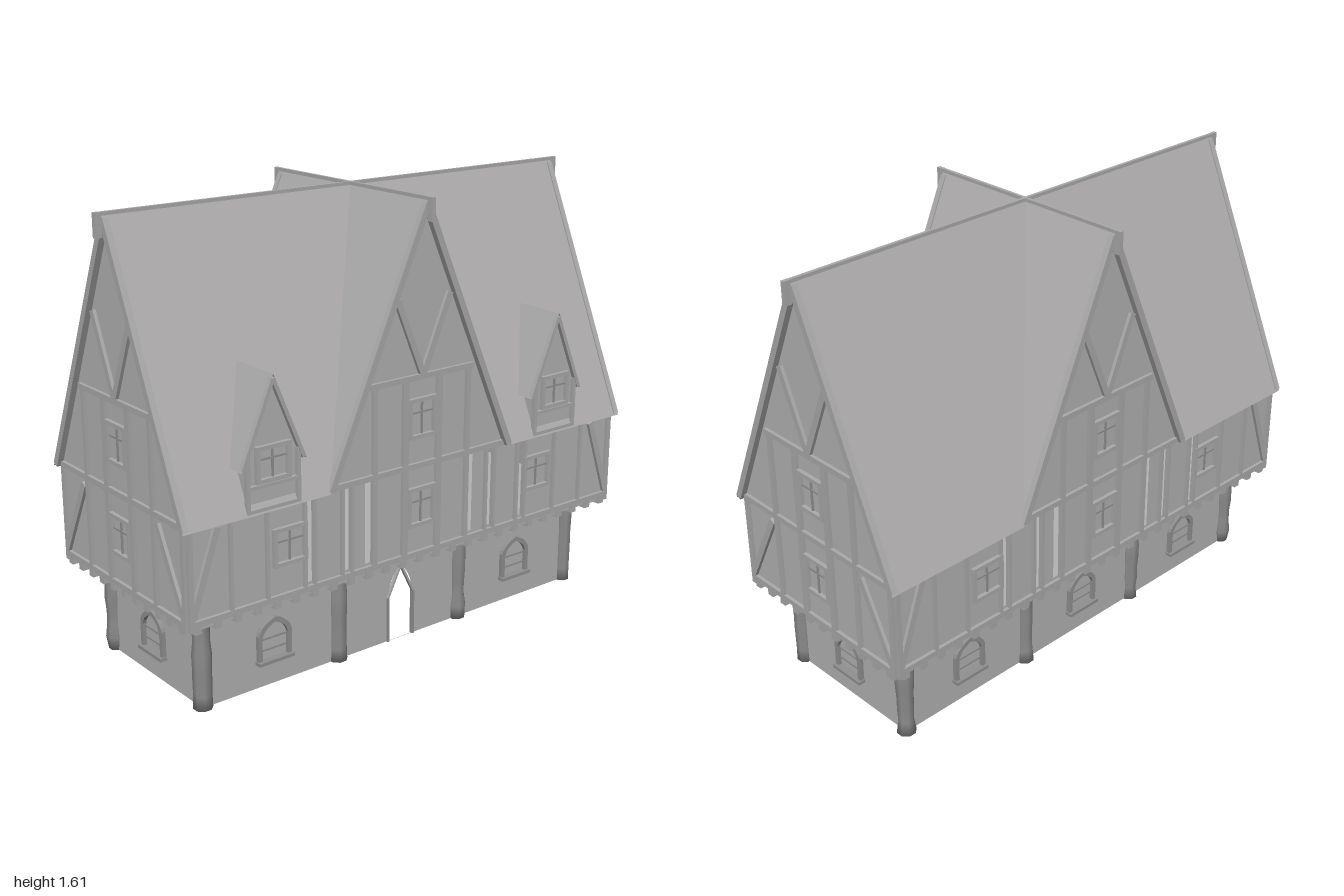
import * as THREE from 'three';

const mat = (name, color, side = THREE.FrontSide) => {
  const m = new THREE.MeshStandardMaterial({ color, side });
  m.name = name;
  return m;
};

export function createModel() {
  const root = new THREE.Group();
  root.name = 'timberFrameHouse';
  const plaster = mat('plaster grey', 0xb2b2b2, THREE.DoubleSide);
  const roofMat = mat('roof grey', 0xb0aeae, THREE.DoubleSide);
  const timber = mat('timber grey', 0xaaaaaa);
  const stone = mat('stone grey', 0x8c8c8c);
  const trim = mat('window trim grey', 0x909090);

  const add = (parent, name, geo, m, x = 0, y = 0, z = 0) => {
    const mesh = new THREE.Mesh(geo, m);
    mesh.name = name;
    mesh.position.set(x, y, z);
    parent.add(mesh);
    return mesh;
  };
  const box = (p, name, m, w, h, d, x, y, z) => add(p, name, new THREE.BoxGeometry(w, h, d), m, x, y, z);

  // Straight timber between two points of a facade
  const beam = (p, name, x1, y1, x2, y2, z, w = 0.024, d = 0.016) => {
    const b = box(p, name, timber, Math.hypot(x2 - x1, y2 - y1), w, d, (x1 + x2) / 2, (y1 + y2) / 2, z);
    b.rotation.z = Math.atan2(y2 - y1, x2 - x1);
  };

  // Flat polygons from corner points
  const faces = (p, name, m, polys) => {
    const v = [];
    for (const q of polys)
      for (let i = 1; i < q.length - 1; i++) v.push(...q[0], ...q[i], ...q[i + 1]);
    const g = new THREE.BufferGeometry();
    g.setAttribute('position', new THREE.Float32BufferAttribute(v, 3));
    g.computeVertexNormals();
    return add(p, name, g, m);
  };

  const outline = (pts) => new THREE.Shape(pts.map(([x, y]) => new THREE.Vector2(x, y)));
  const rect = (x1, y1, x2, y2) => outline([[x1, y1], [x2, y1], [x2, y2], [x1, y2]]);
  // Pointed arch, standing on y = 0
  const arch = (w, h) => {
    const s = new THREE.Shape();
    s.moveTo(-w, 0);
    s.lineTo(w, 0);
    s.lineTo(w, h * 0.62);
    s.quadraticCurveTo(w * 0.85, h * 0.88, 0, h);
    s.quadraticCurveTo(-w * 0.85, h * 0.88, -w, h * 0.62);
    return s;
  };
  const wall = (p, name, shape, holes, z) => {
    shape.holes.push(...holes);
    return add(p, name, new THREE.ShapeGeometry(shape), plaster, 0, 0, z);
  };

  // Arched ground-floor window with bars and sill
  const archWindow = (p, x, z) => {
    const g = new THREE.Group();
    g.name = 'archedWindow';
    g.position.set(x, 0.1, z);
    p.add(g);
    const ring = arch(0.068, 0.15);
    ring.holes.push(arch(0.053, 0.133));
    add(g, 'windowArch', new THREE.ExtrudeGeometry(ring, { depth: 0.016, bevelEnabled: false, curveSegments: 5 }), trim);
    add(g, 'windowPane', new THREE.ShapeGeometry(arch(0.053, 0.133)), plaster, 0, 0, 0.002);
    for (const y of [0.035, 0.075]) box(g, 'windowBar', trim, 0.1, 0.006, 0.006, 0, y, 0.005);
    box(g, 'windowSill', trim, 0.145, 0.012, 0.03, 0, -0.005, 0.012);
  };

  // Square upper window
  const squareWindow = (p, x, y, z, w = 0.12, h = 0.12) => {
    const g = new THREE.Group();
    g.name = 'squareWindow';
    g.position.set(x, y, z);
    p.add(g);
    for (const s of [-1, 1]) {
      box(g, 'windowJamb', timber, 0.014, h, 0.016, s * w / 2, 0, 0.006);
      box(g, 'windowRail', timber, w + 0.014, 0.014, 0.016, 0, s * h / 2, 0.006);
    }
    box(g, 'windowMullion', trim, 0.006, h, 0.006, 0, 0, 0.004);
    box(g, 'windowBar', trim, w, 0.006, 0.006, 0, h * 0.15, 0.004);
  };

  const W = 0.95, D = 0.385, RIDGE = 1.61, EAVE = 0.68, RX = 0.975, RZ = 0.41;

  // Four sides: front, left, back, right
  for (let i = 0; i < 4; i++) {
    const side = new THREE.Group();
    side.name = ['frontSide', 'leftSide', 'backSide', 'rightSide'][i];
    side.rotation.y = i * Math.PI / 2;
    root.add(side);
    const long = i % 2 === 0;
    const dist = long ? D : W, half = long ? W : D;
    const low = long ? 0.285 : 0.845, lowHalf = long ? 0.845 : 0.285;

    // Ground floor wall, with the door opening in front
    const door = [];
    if (i === 0) door.push(new THREE.Path(arch(0.055, 0.28).getPoints(6).map((q) => q.setY(q.y + 0.001))));
    wall(side, 'groundWall', rect(-lowHalf, 0, lowHalf, 0.34), door, low);
    if (i === 0) {
      for (const s of [-1, 1]) box(side, 'doorJamb', trim, 0.008, 0.17, 0.015, s * 0.058, 0.085, low);
      for (const s of [-1, 1]) beam(side, 'doorArch', s * 0.058, 0.17, 0, 0.285, low, 0.008, 0.012);
    }
    const spots = !long ? [0] : i === 0 ? [-0.56, 0.56] : [-0.56, 0, 0.56];
    for (const x of spots) archWindow(side, x, low);

    // Gabled wall with open slits between the posts on the long sides
    const slits = (xs) => xs.map((x) => rect(x - 0.014, 0.385, x + 0.014, 0.675));
    wall(side, 'gableWall', outline([[-D, 0.34], [D, 0.34], [D, 0.71], [0, 1.57], [-D, 0.71]]),
      long ? slits([-0.325, -0.23, 0.23, 0.325]) : [], dist);
    const z = dist + 0.004;
    for (const s of [-1, 1]) {
      if (long) {
        const a = s * D, b = s * W;
        wall(side, 'wingWall', rect(Math.min(a, b), 0.34, Math.max(a, b), 0.72), slits([s * 0.48]), dist);
        for (const x of [0.305, 0.345, 0.46, 0.5, 0.65, 0.79])
          beam(side, 'wingPost', s * x, 0.37, s * x, 0.69, z, 0.012);
        squareWindow(side, s * 0.56, 0.54, dist);
        beam(side, 'cornerBrace', s * 0.94, 0.38, s * 0.84, 0.67, z);
      } else {
        beam(side, 'cornerBrace', s * 0.375, 0.38, s * 0.23, 0.66, z);
      }
      beam(side, 'cornerPost', s * (half - 0.008), 0.34, s * (half - 0.008), 0.7, z, 0.018);
      beam(side, 'gablePost', s * 0.075, 0.37, s * 0.075, 1.0, z);
      beam(side, 'gablePost', s * 0.208, 0.37, s * 0.208, 1.0, z, 0.018);
      beam(side, 'gableBrace', 0, 1.01, s * 0.115, 1.28, z);
      beam(side, 'bargeBoard', s * 0.4, 0.685, 0, 1.59, dist + 0.014, 0.024, 0.022);
    }
    beam(side, 'collarBeam', -0.23, 1.005, 0.23, 1.005, z, 0.02);
    beam(side, 'gableTieBeam', -0.385, 0.69, 0.385, 0.69, z, 0.02);
    beam(side, 'sillBeam', -half, 0.365, half, 0.365, z, 0.02);
    squareWindow(side, 0, 0.86, dist, 0.11, 0.13);
    squareWindow(side, 0, 0.54, dist, 0.11, 0.13);

    // Joist ends under the overhang
    const count = long ? 25 : 11;
    for (let k = 0; k < count; k++) {
      const x = -half + 0.03 + k * (2 * half - 0.06) / (count - 1);
      box(side, 'joist', timber, 0.026, 0.026, 0.12, x, 0.342, dist - 0.05);
    }

    // Ridge beam and hanging finial
    const end = long ? RZ : RX;
    box(side, 'ridgeBeam', timber, 0.012, 0.012, end, 0, RIDGE - 0.003, end / 2);
    box(side, 'finial', timber, 0.014, 0.08, 0.025, 0, 1.573, end + 0.0125);
  }

  // Upper floor plate
  box(root, 'upperFloor', plaster, 2 * W, 0.008, 2 * D, 0, 0.352, 0);

  // Cross roof, meeting in valleys at the centre
  const main = [], cross = [];
  for (const sx of [-1, 1])
    for (const sz of [-1, 1]) {
      main.push([[0, RIDGE, 0], [sx * RX, RIDGE, 0], [sx * RX, EAVE, sz * RZ], [sx * RZ, EAVE, sz * RZ]]);
      cross.push([[0, RIDGE, 0], [0, RIDGE, sz * RZ], [sx * RZ, EAVE, sz * RZ]]);
      if (sx !== sz) { main.at(-1).reverse(); }
      else { cross.at(-1).reverse(); }
    }
  main.forEach((q) => q.reverse());
  cross.forEach((q) => q.reverse());
  faces(root, 'mainRoof', roofMat, main);
  faces(root, 'crossRoof', roofMat, cross);

  // Dormers on the front slope
  for (const x of [-0.63, 0.63]) {
    const d = new THREE.Group();
    d.name = 'dormer';
    d.position.x = x;
    root.add(d);
    faces(d, 'dormerRoof', roofMat, [
      [[0, 1.13, 0.21], [0, 1.13, 0.41], [0.125, 0.83, 0.41], [0.125, 0.83, 0.344]],
      [[0, 1.13, 0.41], [0, 1.13, 0.21], [-0.125, 0.83, 0.344], [-0.125, 0.83, 0.41]],
    ]);
    wall(d, 'dormerWall', outline([[-0.1, 0.69], [0.1, 0.69], [0.1, 0.875], [0, 1.11], [-0.1, 0.875]]), [], 0.395);
    for (const s of [-1, 1]) {
      faces(d, 'dormerCheek', plaster, [[[s * 0.1, 0.69, 0.395], [s * 0.1, 0.69, 0.39], [s * 0.1, 0.88, 0.32], [s * 0.1, 0.88, 0.395]]]);
      beam(d, 'dormerBargeBoard', s * 0.118, 0.835, 0, 1.115, 0.402, 0.014);
      beam(d, 'dormerPost', s * 0.098, 0.69, s * 0.098, 0.87, 0.4, 0.014);
    }
    beam(d, 'dormerSill', -0.105, 0.77, 0.105, 0.77, 0.4, 0.012);
    beam(d, 'dormerBase', -0.105, 0.692, 0.105, 0.692, 0.4, 0.012);
    squareWindow(d, 0, 0.84, 0.395, 0.12, 0.11);
  }

  // Rough stone pillars around the ground floor
  let seed = 7;
  const rnd = () => (seed = (seed * 16807) % 2147483647) / 2147483647;
  for (const x of [-0.84, -0.28, 0.28, 0.84])
    for (const z of [-0.28, 0.28]) {
      const pts = [new THREE.Vector2(0, 0)];
      for (let k = 0; k <= 7; k++) pts.push(new THREE.Vector2(0.027 + 0.009 * rnd(), k * 0.34 / 7));
      pts.push(new THREE.Vector2(0, 0.34));
      const p = add(root, 'stonePillar', new THREE.LatheGeometry(pts, 8), stone, x, 0, z);
      p.rotation.y = Math.PI / 8;
    }
  return root;
}
